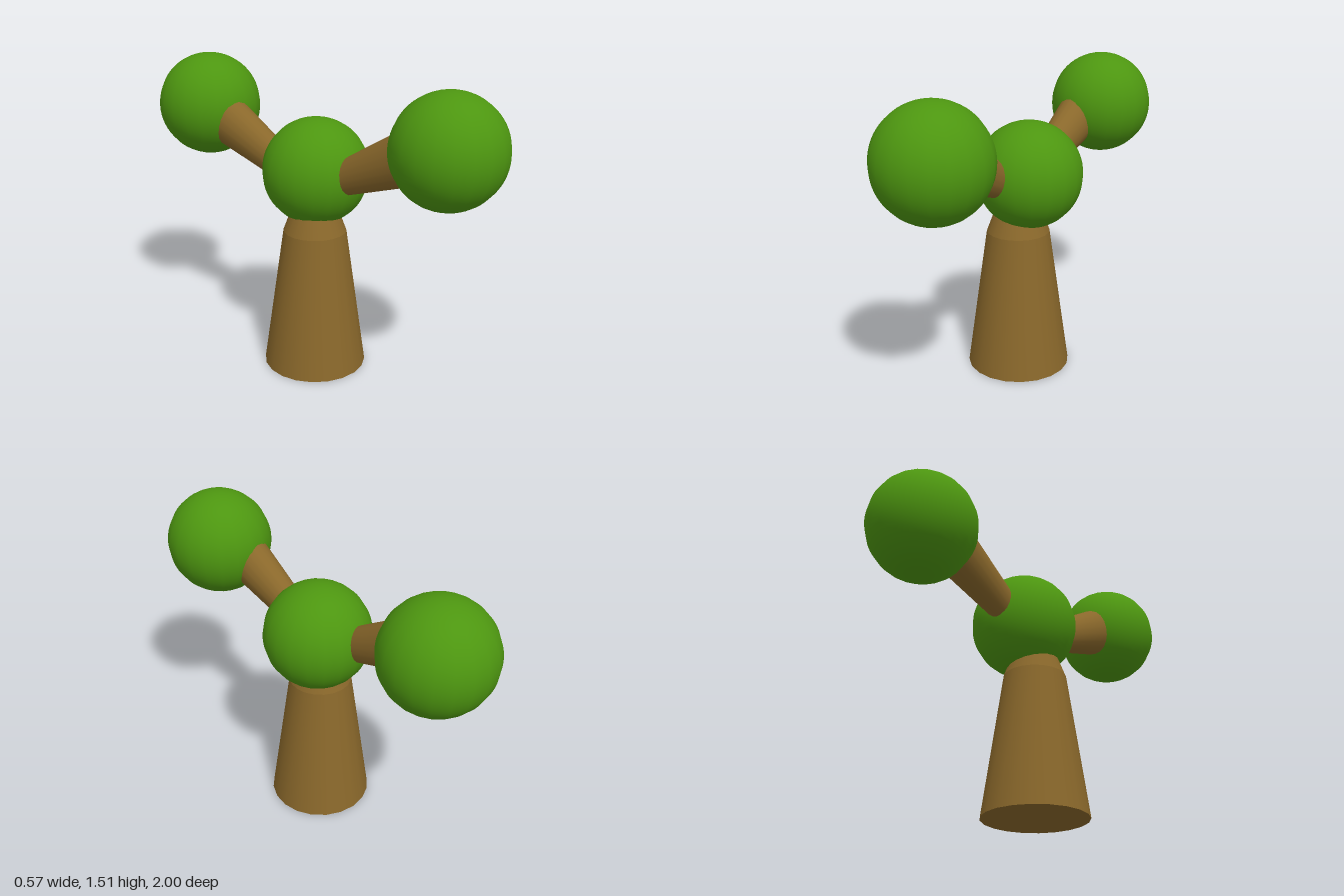
import * as THREE from 'three';

const bark = new THREE.MeshStandardMaterial({ color: 0x8a682b });
const leaf = new THREE.MeshStandardMaterial({ color: 0x4d9610 });

export function createModel() {
  const tree = new THREE.Group();
  tree.name = 'tree';

  const add = (name, geometry, material, x, y, z) => {
    const mesh = new THREE.Mesh(geometry, material);
    mesh.name = name;
    mesh.position.set(x, y, z);
    tree.add(mesh);
    return mesh;
  };

  // Trunk: tall taper, then a steeper neck that ends inside the middle foliage
  add('trunk', new THREE.CylinderGeometry(0.157, 0.26, 0.72, 20), bark, -0.025, 0.36, 0.025);
  add('trunkNeck', new THREE.CylinderGeometry(0.07, 0.157, 0.23, 20), bark, -0.025, 0.835, 0.025);

  // Foliage balls
  const ball = new THREE.SphereGeometry(0.266, 20, 32);
  add('middleFoliage', ball, leaf, 0.02, 1.01, -0.005);
  add('frontFoliage', ball, leaf, 0.02, 1.243, 0.734);
  add('backFoliage', ball, leaf, 0.02, 1.243, -0.734);

  // Branches widen outwards and are slightly narrower across x
  const branch = new THREE.CylinderGeometry(0.139, 0.079, 0.52, 20);
  branch.scale(0.83, 1, 1);
  for (const [name, side] of [['frontBranch', 1], ['backBranch', -1]]) {
    const mesh = add(name, branch, bark, -0.023, 1.115, side * 0.4);
    mesh.rotation.x = side * THREE.MathUtils.degToRad(65);
  }

  return tree;
}
